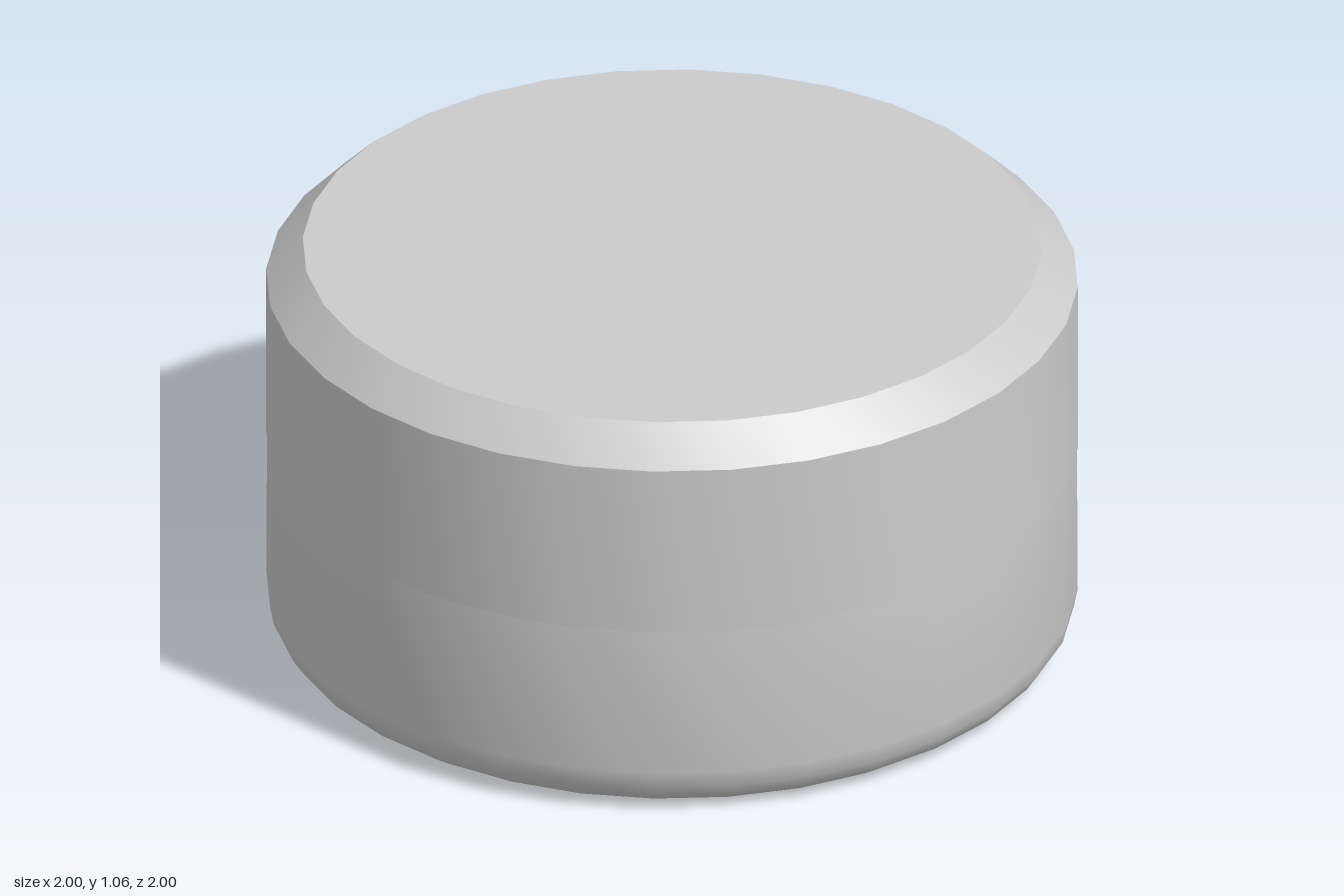
import * as THREE from 'three';
import { toCreasedNormals } from 'three/addons/utils/BufferGeometryUtils.js';

const SIDES = 32;
const HALF_STEP = Math.PI / SIDES;
const SCALE = 1 / Math.cos(HALF_STEP); // the flats, not the corners, lie on the axes

// Revolves a [radius, height] profile, listed from bottom to top
function turned(name, profile, material) {
  const points = profile.map(([r, y]) => new THREE.Vector2(r * SCALE, y));
  const lathe = new THREE.LatheGeometry(points, SIDES, HALF_STEP);
  const mesh = new THREE.Mesh(toCreasedNormals(lathe, 0.6), material);
  mesh.name = name;
  return mesh;
}

export function createModel() {
  const model = new THREE.Group();
  model.name = 'roundContainer';
  const material = new THREE.MeshStandardMaterial({ color: 0xcccccc });

  // Body with a rounded bottom edge
  const round = 0.12, steps = 4, seam = 0.516;
  const body = [[0, 0]];
  for (let i = 0; i <= steps; i++) {
    const a = (i / steps) * Math.PI / 2;
    body.push([1 - round + round * Math.sin(a), round * (1 - Math.cos(a))]);
  }
  body.push([0.998, seam], [0, seam]);
  model.add(turned('body', body, material));

  // Lid with a bevelled top edge
  const lid = [[0, seam], [1, seam], [1, 0.97], [0.91, 1.06], [0, 1.06]];
  model.add(turned('lid', lid, material));

  return model;
}
